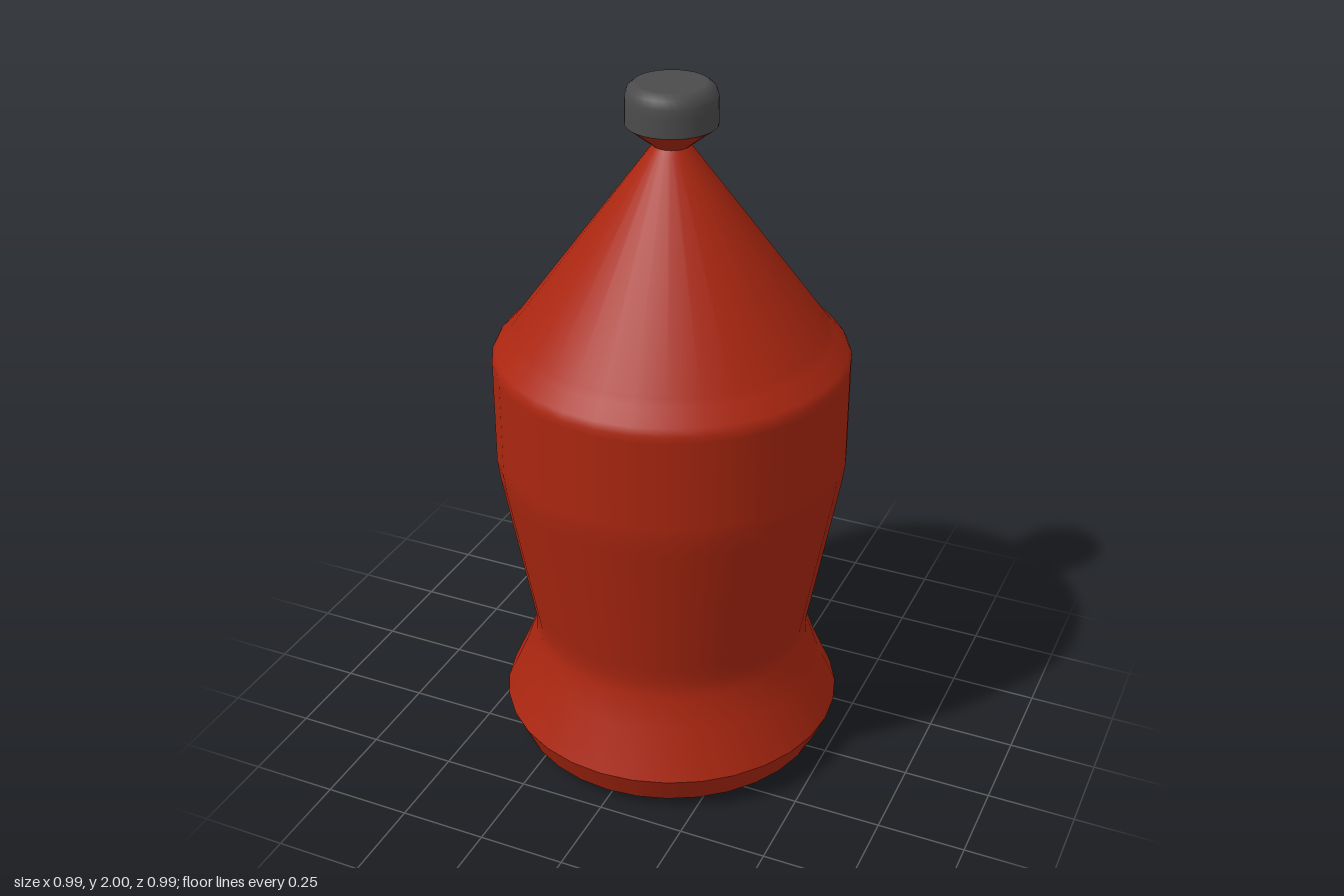
import * as THREE from 'three';

const SEGMENTS = 32;

export function createModel() {
  const red = new THREE.MeshStandardMaterial({ color: 0xaa2610 });
  red.name = 'red paint';
  const grey = new THREE.MeshStandardMaterial({ color: 0x4b4b4b });
  grey.name = 'dark grey';

  const model = new THREE.Group();
  model.name = 'buoy';

  // Each section is smooth inside; the joints between sections stay sharp.
  // Points are [radius, height], running along the skin with the outside on the right.
  const addLathe = (name, material, points) => {
    const profile = points.map(([r, y]) => new THREE.Vector2(r, y));
    const mesh = new THREE.Mesh(new THREE.LatheGeometry(profile, SEGMENTS), material);
    mesh.name = name;
    model.add(mesh);
  };

  // Recess in the underside
  addLathe('recessCeiling', red, [[0, 0.11], [0.05, 0.11], [0.123, 0.06]]);
  addLathe('recessWall', red, [[0.123, 0.06], [0.123, 0]]);

  // Foot
  addLathe('underside', red, [[0.123, 0], [0.33, 0], [0.455, 0.03]]);
  addLathe('footRim', red, [[0.455, 0.03], [0.495, 0.12]]);

  // Flared base, waist, straight body, rounded shoulder and cone
  addLathe('body', red, [
    [0.495, 0.12], [0.437, 0.25], [0.403, 0.345], [0.403, 0.4],
    [0.412, 0.45], [0.487, 0.87], [0.495, 0.93], [0.495, 0.96],
    [0.495, 1.215], [0.495, 1.235], [0.485, 1.255], [0.446, 1.295],
    [0.43, 1.316], [0.06, 1.82], [0.05, 1.833],
  ]);

  // Neck and knob
  addLathe('neck', red, [[0.05, 1.833], [0.123, 1.89]]);
  addLathe('knob', grey, [
    [0.123, 1.89], [0.123, 1.94], [0.123, 1.965], [0.116, 1.987],
    [0.1, 2], [0.09, 2], [0, 2],
  ]);

  return model;
}
